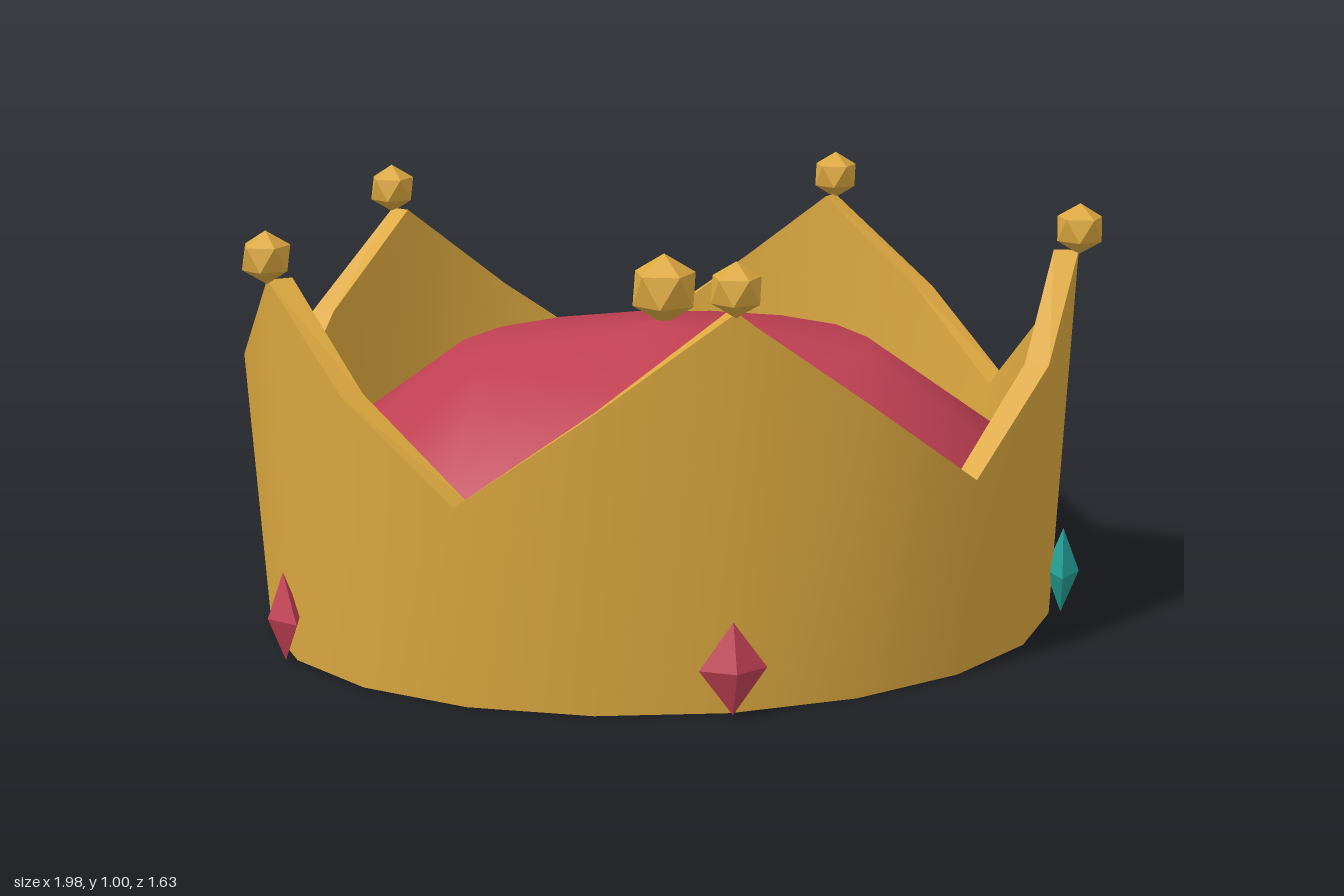
import * as THREE from 'three';

const SEG = 20;          // wall columns: four per crown point
const CZ = -0.03;        // centre of the oval in z
const INNER = 0.94;      // inner wall scale
const TOP = { a: 0.985, b: 0.79 };
const BASE = { a: 0.945, b: 0.757 };

// Point on an oval, angle measured from the front towards +x
const oval = (t, { a, b }, y, s = 1) =>
  new THREE.Vector3(Math.sin(t) * a * s, y, CZ + Math.cos(t) * b * s);

// Zigzag rim height: peak, slope, valley, slope
const RIM = [0.89, 0.67, 0.46, 0.67];

const loop = (size, s, top) => Array.from({ length: SEG }, (_, i) =>
  oval(i / SEG * Math.PI * 2, size, top ? RIM[i % 4] : 0, s));

// Closed strip of quads between two loops
function strip(lower, upper, flat) {
  const index = [];
  for (let i = 0; i < SEG; i++) {
    const j = (i + 1) % SEG;
    index.push(i, j, SEG + j, i, SEG + j, SEG + i);
  }
  let g = new THREE.BufferGeometry().setFromPoints([...lower, ...upper]);
  g.setIndex(index);
  if (flat) g = g.toNonIndexed();
  g.computeVertexNormals();
  return g;
}

export function createModel() {
  const group = new THREE.Group();
  const mat = (name, color, flatShading = false) => {
    const m = new THREE.MeshStandardMaterial({ color, flatShading });
    m.name = name;
    return m;
  };
  const gold = mat('gold', 0xdca83f);
  const red = mat('red', 0xc04053);
  const teal = mat('teal', 0x249e96);
  const black = mat('black', 0x18181a);

  const add = (name, geometry, material, pos) => {
    const m = new THREE.Mesh(geometry, material);
    m.name = name;
    if (pos) m.position.copy(pos);
    group.add(m);
    return m;
  };

  // Flared band with five points
  const outBase = loop(BASE, 1, false), outTop = loop(TOP, 1, true);
  const inBase = loop(BASE, INNER, false), inTop = loop(TOP, INNER, true);
  add('outerWall', strip(outBase, outTop), gold);
  add('innerWall', strip(inTop, inBase), gold);
  add('topRim', strip(outTop, inTop, true), gold);
  add('bottomRim', strip(inBase, outBase, true), gold);

  // Dark underside
  const under = new THREE.CircleGeometry(1, SEG).rotateX(Math.PI / 2)
    .scale(BASE.a * INNER, 1, BASE.b * INNER);
  add('underside', under, black, new THREE.Vector3(0, 0.002, CZ));

  // Cloth dome
  const profile = [[1, 0], [1, 0.2], [0.92, 0.42], [0.56, 0.648], [0, 0.713]]
    .map(([r, y]) => new THREE.Vector2(r, y));
  const dome = new THREE.LatheGeometry(profile, 16)
    .scale(BASE.a * INNER, 1, BASE.b * INNER);
  add('clothDome', dome, red, new THREE.Vector3(0, 0, CZ));

  // Faceted balls, one corner pointing up
  const tilt = -Math.atan(2 / (1 + Math.sqrt(5)));
  const ball = r => new THREE.IcosahedronGeometry(r, 0).rotateZ(tilt);
  add('domeBall', ball(0.085), gold, new THREE.Vector3(0, 0.785, CZ));

  const tipBall = ball(0.06);
  const gem = new THREE.OctahedronGeometry(1, 0).scale(0.075, 0.105, 0.04);
  for (let i = 0; i < 5; i++) {
    const t = i / 5 * Math.PI * 2;
    add('tipBall', tipBall, gold, oval(t, TOP, 0.94));
    // Gems alternate round the band
    add('gem', gem, i % 2 ? teal : red, oval(t, { a: 0.973, b: 0.784 }, 0.11))
      .rotation.y = t;
  }
  return group;
}
